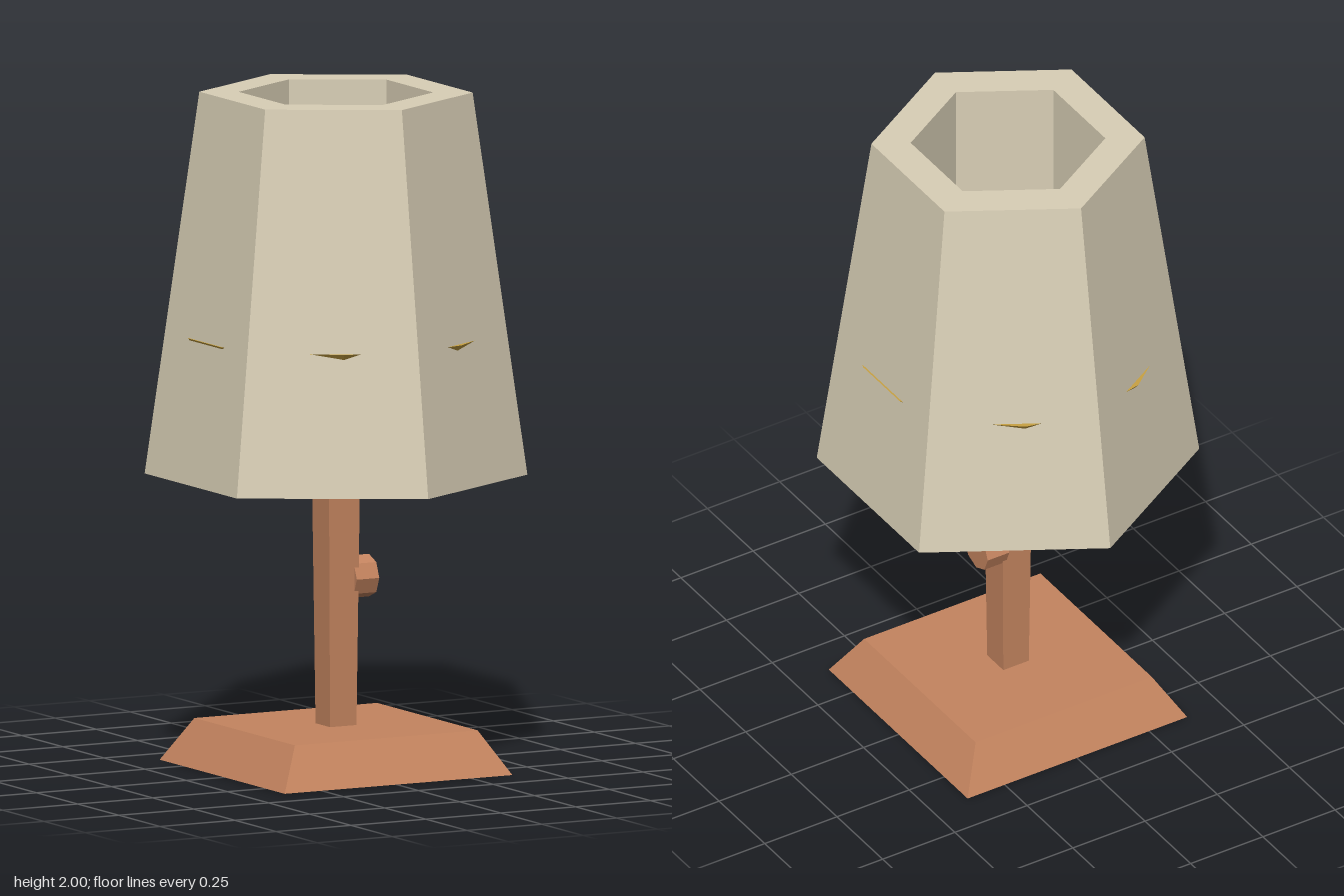
import * as THREE from 'three';

const flat = (name, color) => {
  const m = new THREE.MeshStandardMaterial({ color, flatShading: true });
  m.name = name;
  return m;
};

export function createModel() {
  const copper = flat('copper', 0xc4845f);
  const cream = flat('cream', 0xd9cfb6);
  const gold = flat('gold', 0xc8a242);
  const darkBrown = flat('dark brown', 0x86644a);

  const model = new THREE.Group();
  model.name = 'tableLamp';

  const add = (name, geometry, material) => {
    const mesh = new THREE.Mesh(geometry, material);
    mesh.name = name;
    model.add(mesh);
    return mesh;
  };

  // Upright tapered prism between heights y0 and y1
  const prism = (r0, r1, y0, y1, sides) =>
    new THREE.CylinderGeometry(r1, r0, y1 - y0, sides).translate(0, (y0 + y1) / 2, 0);

  // Square tapered block, given by its half widths
  const square = (half0, half1, y0, y1) =>
    prism(half0 * Math.SQRT2, half1 * Math.SQRT2, y0, y1, 4).rotateY(Math.PI / 4);

  // Foot and the pad set into its underside
  add('base', square(0.38, 0.305, 0.002, 0.13), copper);
  add('basePad', prism(0.28, 0.28, 0, 0.006, 20), darkBrown);

  // Post, slightly wider towards the top
  add('post', square(0.044, 0.0575, 0.12, 1.4), copper);

  // Switch knob on the post's left side
  const knob = add('switchKnob', new THREE.CylinderGeometry(0.063, 0.063, 0.075, 8), copper);
  knob.rotation.z = Math.PI / 2;
  knob.position.set(0.0725, 0.563, 0);

  // Thick six-sided shade with a straight hole through it
  const profile = [[0.285, 0.87], [0.56, 0.87], [0.4, 2], [0.285, 2], [0.285, 0.87]]
    .map(([r, y]) => new THREE.Vector2(r, y));
  add('shade', new THREE.LatheGeometry(profile, 6), cream);

  // Dish carrying the shade, its rim just piercing the sides
  add('shadeDish', prism(0.41, 0.45, 1.24, 1.29, 14), gold);

  return model;
}
